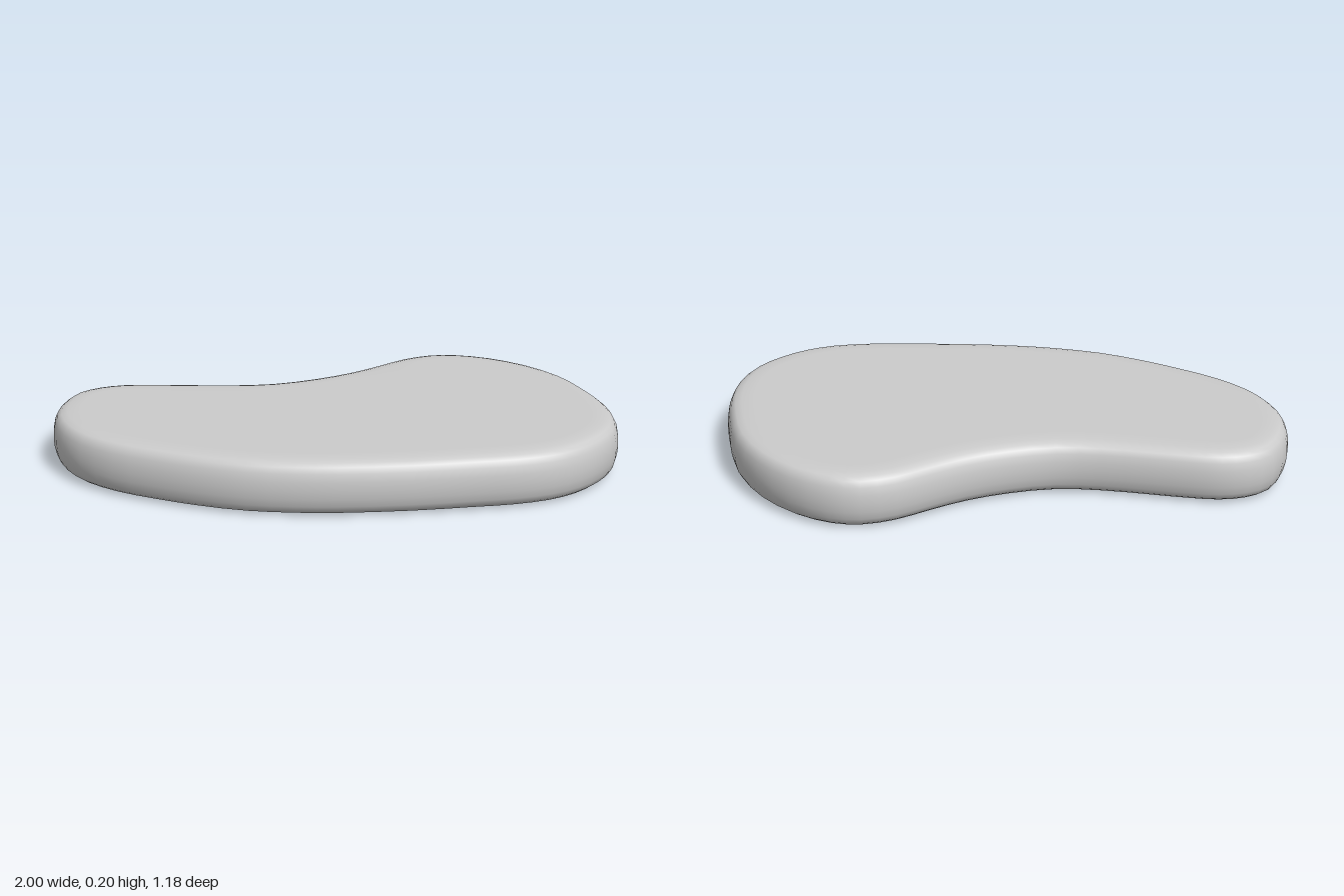
import * as THREE from 'three';

// Kidney-shaped outline, x and z pairs, running back-left round to the front
const OUTLINE = [
  [-1, -0.15], [-0.98, -0.28], [-0.91, -0.405], [-0.82, -0.455], [-0.72, -0.467], [-0.61, -0.45],
  [-0.48, -0.42], [-0.32, -0.385], [-0.17, -0.37], [-0.01, -0.395], [0.13, -0.44], [0.25, -0.5],
  [0.37, -0.565], [0.49, -0.595], [0.6, -0.58], [0.73, -0.51], [0.85, -0.39], [0.94, -0.23],
  [0.98, -0.06], [0.997, 0.1], [0.98, 0.25], [0.93, 0.37], [0.85, 0.46], [0.75, 0.53],
  [0.64, 0.57], [0.5, 0.585], [0.36, 0.58], [0.15, 0.57], [-0.1, 0.54], [-0.24, 0.51],
  [-0.4, 0.46], [-0.56, 0.38], [-0.7, 0.29], [-0.82, 0.2], [-0.92, 0.09], [-0.975, -0.02],
];

// Upper half of the rim section: inset from the outline, height above mid-plane
const RIM = [[0, 0], [0.002, 0.03], [0.008, 0.058], [0.018, 0.078], [0.032, 0.089], [0.055, 0.095], [0.1, 0.098]];
const MID = 0.1;

function slabGeometry(segments) {
  const curve = new THREE.CatmullRomCurve3(OUTLINE.map(([x, z]) => new THREE.Vector3(x, 0, z)), true);
  const section = [
    ...RIM.slice(1).reverse().map(([inset, h]) => [inset, MID - h]),
    ...RIM.map(([inset, h]) => [inset, MID + h]),
  ];
  const positions = [];
  const indices = [];

  // rings, each the outline moved inwards along its normal
  for (const [inset, y] of section) {
    for (let i = 0; i < segments; i++) {
      const p = curve.getPoint(i / segments);
      const t = curve.getTangent(i / segments);
      positions.push(p.x - t.z * inset, y, p.z + t.x * inset);
    }
  }
  const rings = section.length;
  for (let j = 0; j < rings - 1; j++) {
    for (let i = 0; i < segments; i++) {
      const k = (i + 1) % segments;
      const a = j * segments + i, b = j * segments + k;
      const d = a + segments, c = b + segments;
      indices.push(a, d, c, a, c, b);
    }
  }

  // flat bottom and top faces
  const bottom = positions.length / 3, top = bottom + 1;
  positions.push(0.1, section[0][1], 0.05, 0.1, section[rings - 1][1], 0.05);
  const last = (rings - 1) * segments;
  for (let i = 0; i < segments; i++) {
    const k = (i + 1) % segments;
    indices.push(bottom, i, k, top, last + k, last + i);
  }

  const geometry = new THREE.BufferGeometry();
  geometry.setAttribute('position', new THREE.Float32BufferAttribute(positions, 3));
  geometry.setIndex(indices);
  geometry.computeVertexNormals();
  return geometry;
}

export function createModel() {
  const group = new THREE.Group();
  group.name = 'kidneySlab';
  const slab = new THREE.Mesh(
    slabGeometry(OUTLINE.length * 2),
    new THREE.MeshStandardMaterial({ color: 0xcccccc }),
  );
  slab.name = 'slab';
  slab.position.y = -0.002;
  group.add(slab);
  return group;
}
